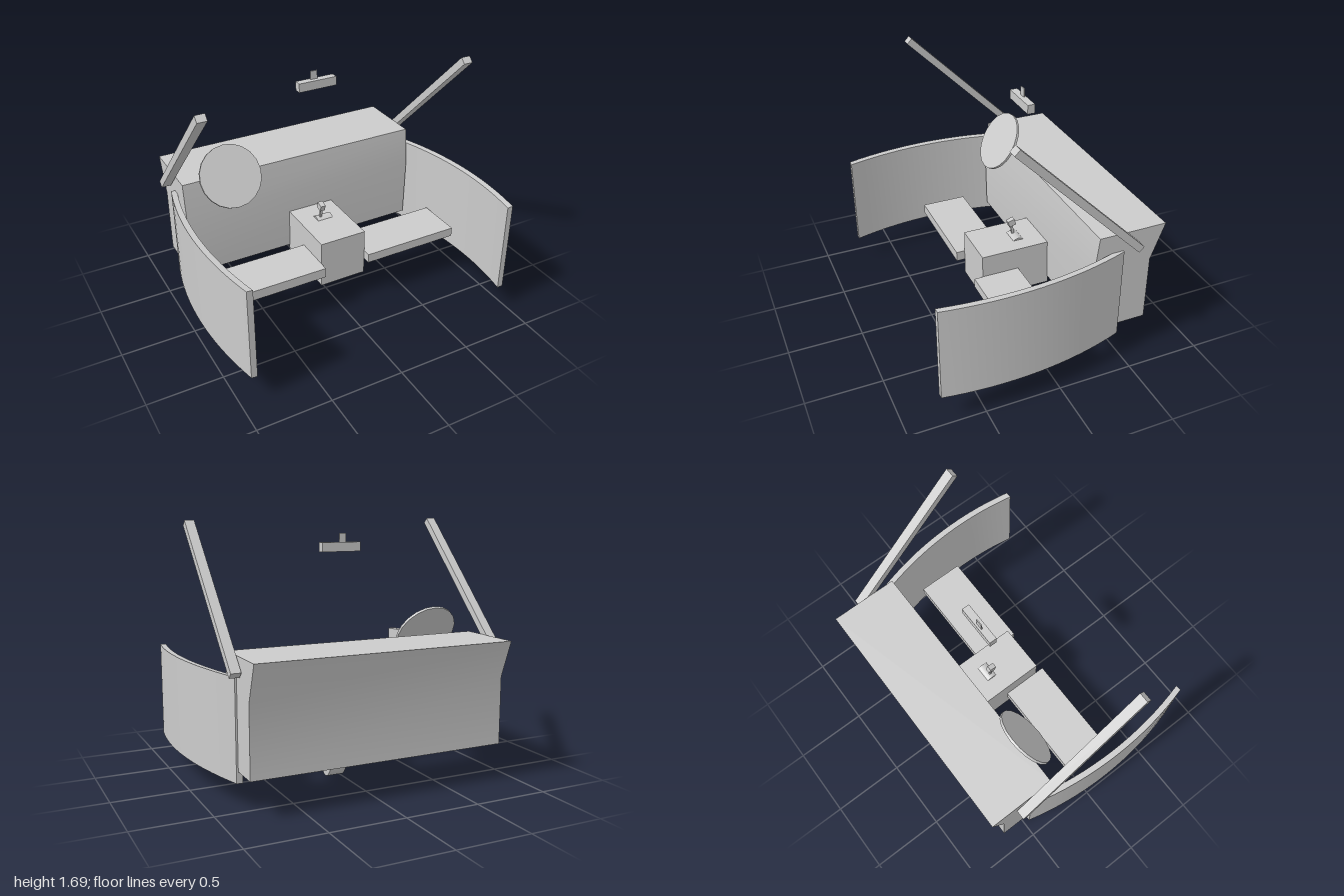
import * as THREE from 'three';
import { toCreasedNormals } from 'three/addons/utils/BufferGeometryUtils.js';

const material = new THREE.MeshStandardMaterial({ color: 0xcccccc });

export function createModel() {
  const model = new THREE.Group();
  model.name = 'carInterior';

  const add = (name, geometry, x = 0, y = 0, z = 0) => {
    const mesh = new THREE.Mesh(geometry, material);
    mesh.name = name;
    mesh.position.set(x, y, z);
    model.add(mesh);
    return mesh;
  };
  // Box given by its low and high limits on each axis
  const block = (name, [x0, x1], [y0, y1], [z0, z1]) =>
    add(name, new THREE.BoxGeometry(x1 - x0, y1 - y0, z1 - z0),
      (x0 + x1) / 2, (y0 + y1) / 2, (z0 + z1) / 2);
  const extrude = (points, depth) => new THREE.ExtrudeGeometry(
    new THREE.Shape(points.map(([a, b]) => new THREE.Vector2(a, b))),
    { depth, bevelEnabled: false });

  // Dashboard: a (-z, y) profile swept across the cabin
  const dash = extrude([
    [0.31, 0.945], [0.283, 0.7], [0.295, 0.25], [0.68, 0.25], [0.68, 0.7], [0.77, 0.945],
  ], 1.73).rotateY(Math.PI / 2);
  add('dashboard', toCreasedNormals(dash, 0.6), -0.89);

  // Bowed door panels: arc in plan, extruded upwards and slightly sheared
  const doorPanel = (name, side, crestZ, radius) => {
    const steps = 16, thickness = 0.04, outer = [], inner = [];
    for (let i = 0; i <= steps; i++) {
      const z = -0.48 + (1.25 * i) / steps;
      const x = 1 - radius + Math.sqrt(radius ** 2 - (z - crestZ) ** 2);
      outer.push([side * x, -z]);
      inner.unshift([side * (x - thickness), -z]);
    }
    const geometry = extrude([...outer, ...inner], 0.64).rotateX(-Math.PI / 2);
    const p = geometry.attributes.position;
    for (let i = 0; i < p.count; i++) p.setY(i, p.getY(i) - 0.08 * (1 - Math.abs(p.getX(i))));
    add(name, toCreasedNormals(geometry, 0.6), 0, 0.19, 0);
  };
  doorPanel('rightDoorPanel', -1, 0.15, 2.45);
  doorPanel('leftDoorPanel', 1, 0.35, 2.4);

  // Sloping windscreen pillars
  for (const [name, x] of [['rightPillar', -0.927], ['leftPillar', 0.877]]) {
    const pillar = add(name, new THREE.BoxGeometry(0.064, 0.048, 1.185), x, 1.262, -0.145);
    pillar.rotation.x = -0.782;
  }

  // Seat shelves and centre console
  block('rightSeatBase', [-0.835, -0.135], [0.31, 0.38], [-0.07, 0.25]);
  block('leftSeatBase', [0.2, 0.9], [0.315, 0.38], [-0.07, 0.25]);
  block('centreConsole', [-0.135, 0.2], [0.2, 0.535], [-0.3, 0.19]);

  // Oval shifter drum running through the console
  const drum = new THREE.CylinderGeometry(1, 1, 0.115, 32).rotateZ(Math.PI / 2).scale(1, 0.272, 0.115);
  add('shifterDrum', drum, 0.042, 0.278, -0.115);
  const lever = block('shiftLever', [0.01, 0.026], [0.53, 0.63], [-0.112, -0.096]);
  lever.rotation.x = 0.15;
  const knob = block('shiftKnob', [0, 0.036], [0.615, 0.66], [-0.122, -0.072]);
  knob.rotation.x = 0.3;

  // Tilted steering wheel disc
  const wheel = add('steeringWheel', new THREE.CylinderGeometry(0.214, 0.214, 0.018, 20), -0.57, 0.953, -0.263);
  wheel.rotation.x = 1.01;

  // Rear-view mirror with its stem
  block('mirror', [-0.115, 0.155], [1.5, 1.56], [-0.19, -0.14]);
  block('mirrorStem', [-0.017, 0.031], [1.56, 1.617], [-0.177, -0.17]);

  return model;
}
